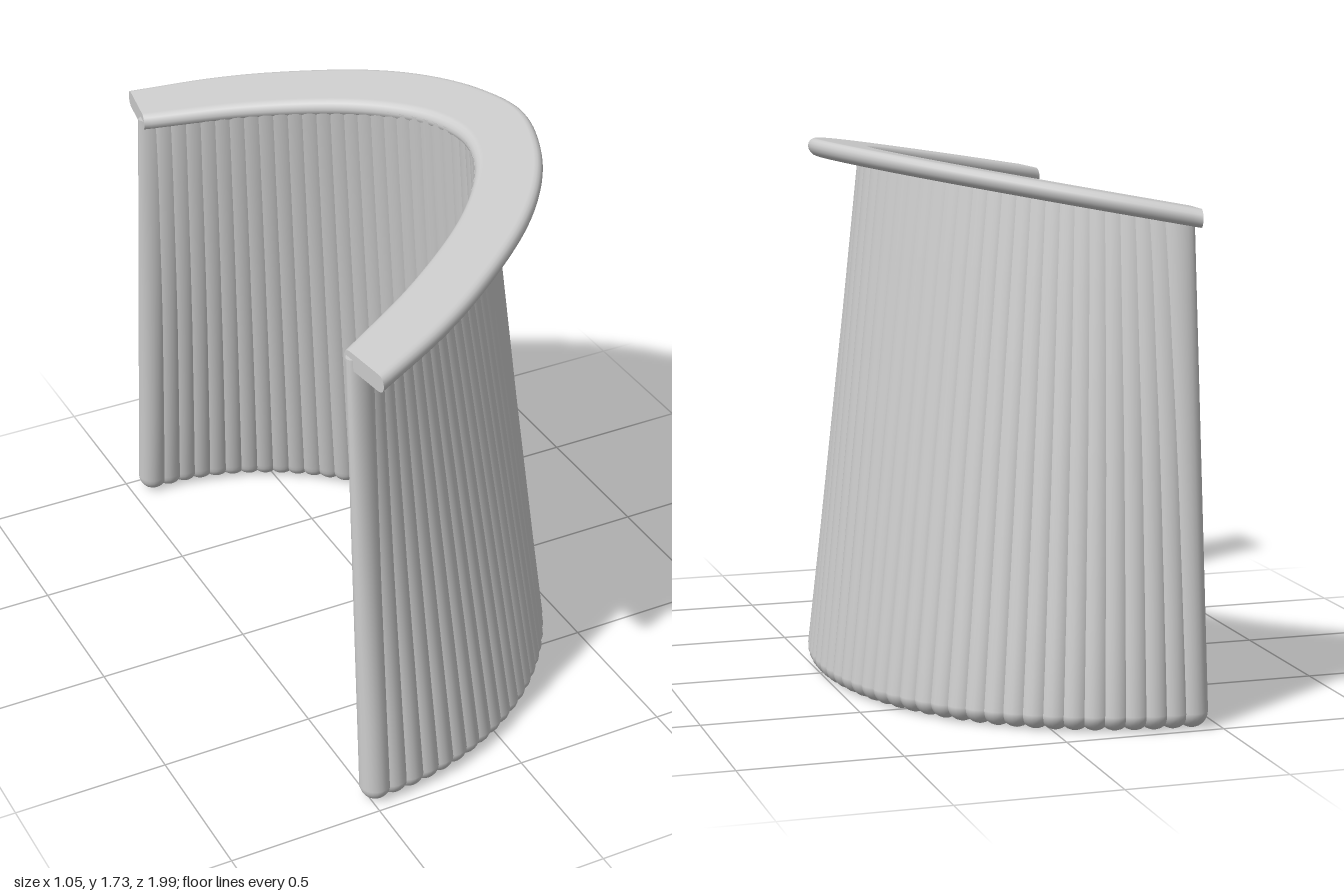
import * as THREE from 'three';

const material = new THREE.MeshStandardMaterial({ color: 0xcccccc });
const RIBS = 50;

// Plan curve from the +z end round to the -z end, mirrored from half its points [x, z].
// The ends are slightly askew, so x shifts with z.
function planCurve(half, zShift = 0) {
  const mirrored = half.slice(0, -1).reverse().map(([x, z]) => [x, -z]);
  return new THREE.CatmullRomCurve3(
    [...half, ...mirrored].map(([x, z]) => new THREE.Vector3(x - 0.033 * z, 0, z + zShift)), false, 'centripetal');
}

// The foot follows half an ellipse
const footHalf = Array.from({ length: 13 }, (_, i) => {
  const a = (1 - i / 12) * Math.PI / 2;
  return [-0.447 + 0.917 * Math.cos(a), 0.937 * Math.sin(a)];
});
const footCurve = planCurve(footHalf, -0.01);
const headCurve = planCurve([[-0.437, 0.8], [-0.17, 0.637], [0.1, 0.428], [0.245, 0.25], [0.303, 0.13], [0.328, 0]]);
const innerEdge = planCurve([[-0.477, 0.78], [-0.18, 0.61], [0.08, 0.408], [0.22, 0.24], [0.277, 0.125], [0.3, 0]]);
const outerEdge = planCurve([[-0.45, 0.99], [-0.2, 0.875], [-0.02, 0.765], [0.235, 0.56], [0.38, 0.385], [0.473, 0.2], [0.517, 0]]);

// Height of the middle of the sloping top
const topHeight = (x) => 1.614 + 0.175 * x;

// Skin over closed rings of points, with flat caps at both ends
function loft(rings) {
  const n = rings[0].length;
  const points = rings.flat();
  const index = [];
  for (let i = 0; i < rings.length - 1; i++) {
    for (let j = 0; j < n; j++) {
      const a = i * n + j, b = i * n + (j + 1) % n;
      index.push(a, b, b + n, a, b + n, a + n);
    }
  }
  for (const [ring, flip] of [[rings[0], true], [rings[rings.length - 1], false]]) {
    const base = points.length;
    points.push(...ring);
    for (let j = 1; j < n - 1; j++) {
      if (flip) index.push(base, base + j + 1, base + j);
      else index.push(base, base + j, base + j + 1);
    }
  }
  const geometry = new THREE.BufferGeometry().setFromPoints(points);
  geometry.setIndex(index);
  geometry.computeVertexNormals();
  return geometry;
}

// One upright rib: round at the foot, flattened where it meets the top
function ribGeometry(u) {
  const foot = footCurve.getPointAt(u), head = headCurve.getPointAt(u);
  const t = footCurve.getTangentAt(u).lerp(headCurve.getTangentAt(u), 0.5).normalize();
  const out = new THREE.Vector3(-t.z, 0, t.x);
  const side = new THREE.Vector3(out.z, 0, -out.x);
  const r = 0.05;
  foot.y = r;
  head.y = topHeight(head.x);
  const ring = (center, ro, rs) => Array.from({ length: 20 }, (_, j) => {
    const a = j / 20 * Math.PI * 2;
    return center.clone().addScaledVector(out, ro * Math.cos(a)).addScaledVector(side, rs * Math.sin(a));
  });
  const rings = [];
  for (let k = 0; k < 6; k++) {
    const a = k / 6 * Math.PI / 2;
    const c = foot.clone();
    c.y = r - r * Math.cos(a);
    rings.push(ring(c, r * Math.sin(a), r * Math.sin(a)));
  }
  for (let k = 0; k <= 6; k++) {
    rings.push(ring(foot.clone().lerp(head, k / 6), r + (0.027 - r) * k / 6, r));
  }
  return loft(rings);
}

// Sloping top with rounded long edges
function topGeometry() {
  const r = 0.028, steps = 96, rings = [];
  for (let i = 0; i <= steps; i++) {
    const p = innerEdge.getPointAt(i / steps), q = outerEdge.getPointAt(i / steps);
    const out = q.clone().sub(p).normalize();
    const ring = [];
    for (const [edge, sign, start] of [[q, -1, -Math.PI / 2], [p, 1, Math.PI / 2]]) {
      for (let k = 0; k <= 8; k++) {
        const a = start + k / 8 * Math.PI;
        const v = edge.clone().addScaledVector(out, sign * r + r * Math.cos(a));
        v.y = topHeight(v.x) - r * Math.sin(a);
        ring.push(v);
      }
    }
    rings.push(ring);
  }
  return loft(rings);
}

export function createModel() {
  const model = new THREE.Group();
  model.name = 'curvedCounter';

  const wall = new THREE.Group();
  wall.name = 'ribbedWall';
  for (let i = 0; i < RIBS; i++) {
    const rib = new THREE.Mesh(ribGeometry(i / (RIBS - 1)), material);
    rib.name = 'rib';
    wall.add(rib);
  }

  const top = new THREE.Mesh(topGeometry(), material);
  top.name = 'counterTop';

  model.add(wall, top);
  return model;
}
